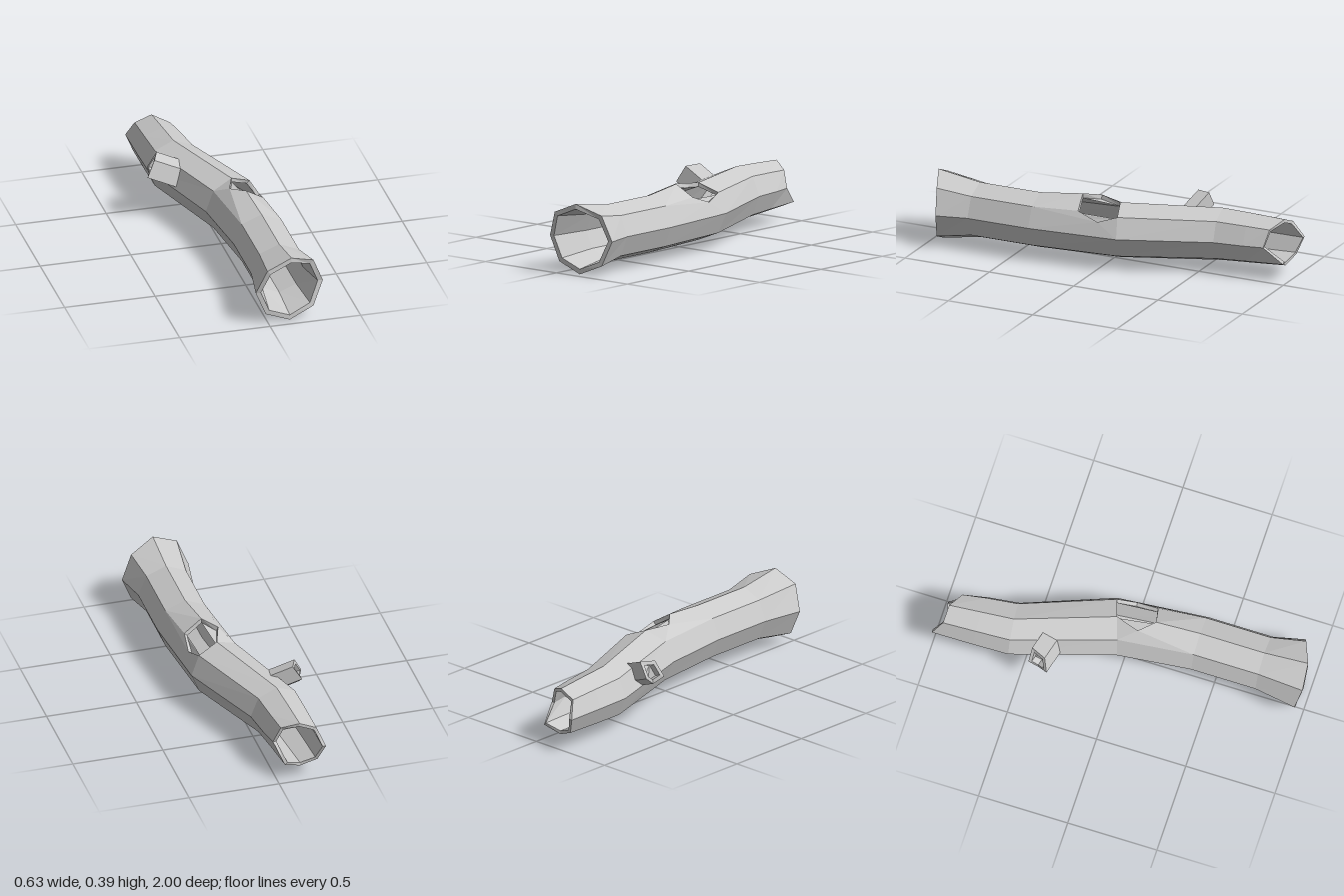
import * as THREE from 'three';

const V = (x, y, z) => new THREE.Vector3(x, y, z);
const AXIS_Y = 0.195;
const SIDES = 8;

// Collects polygons as triangle fans and turns them into a faceted mesh
function makeMesh(name, polygons) {
  const pos = [];
  for (const p of polygons)
    for (let i = 1; i < p.length - 1; i++)
      for (const v of [p[0], p[i], p[i + 1]]) pos.push(v.x, v.y, v.z);
  const geo = new THREE.BufferGeometry();
  geo.setAttribute('position', new THREE.Float32BufferAttribute(pos, 3));
  geo.computeVertexNormals();
  const mat = new THREE.MeshStandardMaterial({ color: 0xcccccc, flatShading: true, side: THREE.DoubleSide });
  const mesh = new THREE.Mesh(geo, mat);
  mesh.name = name;
  return mesh;
}

// Quads joining two closed loops
const bridge = (a, b) => a.map((p, i) => {
  const j = (i + 1) % a.length;
  return [p, b[i], b[j], a[j]];
});
const flip = polys => polys.map(p => [...p].reverse());

// Cross-sections from front to back: centre x, centre z, radius, z tilt, per-corner z of ragged ends
const sections = [
  { x: 0.122, z: 0.95, r: 0.193, ends: [0.91, 0.93, 0.985, 0.997, 0.97, 0.96, 0.95, 0.93] },
  { x: 0.12, z: 0.74, r: 0.155, tilt: 0 },
  { x: 0.12, z: 0.38, r: 0.155, tilt: 0 },
  { x: 0.075, z: -0.07, r: 0.155, tilt: -0.05 },
  { x: -0.105, z: -0.59, r: 0.148, tilt: -0.015 },
  { x: -0.118, z: -0.77, r: 0.14, tilt: 0 },
  { x: -0.13, z: -0.94, r: 0.13, ends: [-0.88, -0.9, -0.945, -0.95, -1.0, -0.97, -0.95, -0.98] },
];
const HOLE_SEGMENT = 2;

function ring(s, scale) {
  return Array.from({ length: SIDES }, (_, j) => {
    const a = j * Math.PI * 2 / SIDES, r = s.r * scale;
    const z = s.ends ? s.ends[j] : s.z + s.tilt * Math.cos(a);
    return V(s.x + r * Math.cos(a), AXIS_Y + r * Math.sin(a), z);
  });
}

// One wall of the log, with the knothole cut into one segment
function skin(scale) {
  const rings = sections.map(s => ring(s, scale));
  const toAxis = (x, y, z) => V(0.085 + (x - 0.085) * scale, AXIS_Y + (y - AXIS_Y) * scale, z);
  const f = rings[HOLE_SEGMENT], b = rings[HOLE_SEGMENT + 1];
  const front = toAxis(0.1, 0.375, 0.14), frontLow = toAxis(0.2, 0.312, 0.12);
  const low = toAxis(0.212, 0.27, 0), high = toAxis(0.03, 0.358, 0.06);
  const hole = [front, frontLow, low, b[1], b[2], high];
  const polys = [];
  for (let i = 0; i < rings.length - 1; i++)
    bridge(rings[i], rings[i + 1]).forEach((q, j) => {
      if (i !== HOLE_SEGMENT || j > 2) polys.push(q);
    });
  polys.push(
    [low, frontLow, f[1], f[0], b[0], b[1]],
    [f[1], frontLow, front, f[2]],
    [high, b[2], b[3], f[3], f[2], front],
  );
  return { rings, hole, polys };
}

export function createModel() {
  const group = new THREE.Group();
  group.name = 'hollowLog';

  const outer = skin(1), inner = skin(0.855);
  const last = sections.length - 1;
  group.add(makeMesh('bark', outer.polys));
  group.add(makeMesh('hollowInside', flip(inner.polys)));
  group.add(makeMesh('frontRim', flip(bridge(outer.rings[0], inner.rings[0]))));
  group.add(makeMesh('backRim', bridge(outer.rings[last], inner.rings[last])));
  group.add(makeMesh('knotholeRim', flip(bridge(outer.hole, inner.hole))));

  // Broken branch: five-sided stub with a small hollow in its tip
  const tip = [
    V(-0.27, 0.356, -0.365), V(-0.315, 0.27, -0.34), V(-0.285, 0.235, -0.395),
    V(-0.288, 0.28, -0.45), V(-0.237, 0.363, -0.445),
  ];
  const centre = tip.reduce((sum, p) => sum.add(p), V(0, 0, 0)).divideScalar(tip.length);
  const reach = V(0.16, -0.065, 0.03);
  const base = tip.map(p => p.clone().add(reach));
  const lip = tip.map(p => p.clone().lerp(centre, 0.35));
  const floor = lip.map(p => p.clone().addScaledVector(reach, 0.25));
  group.add(makeMesh('branchStub', flip([
    ...bridge(base, tip), ...bridge(tip, lip), ...bridge(lip, floor), floor,
  ].map(p => p === floor ? [...p].reverse() : p))));

  return group;
}
